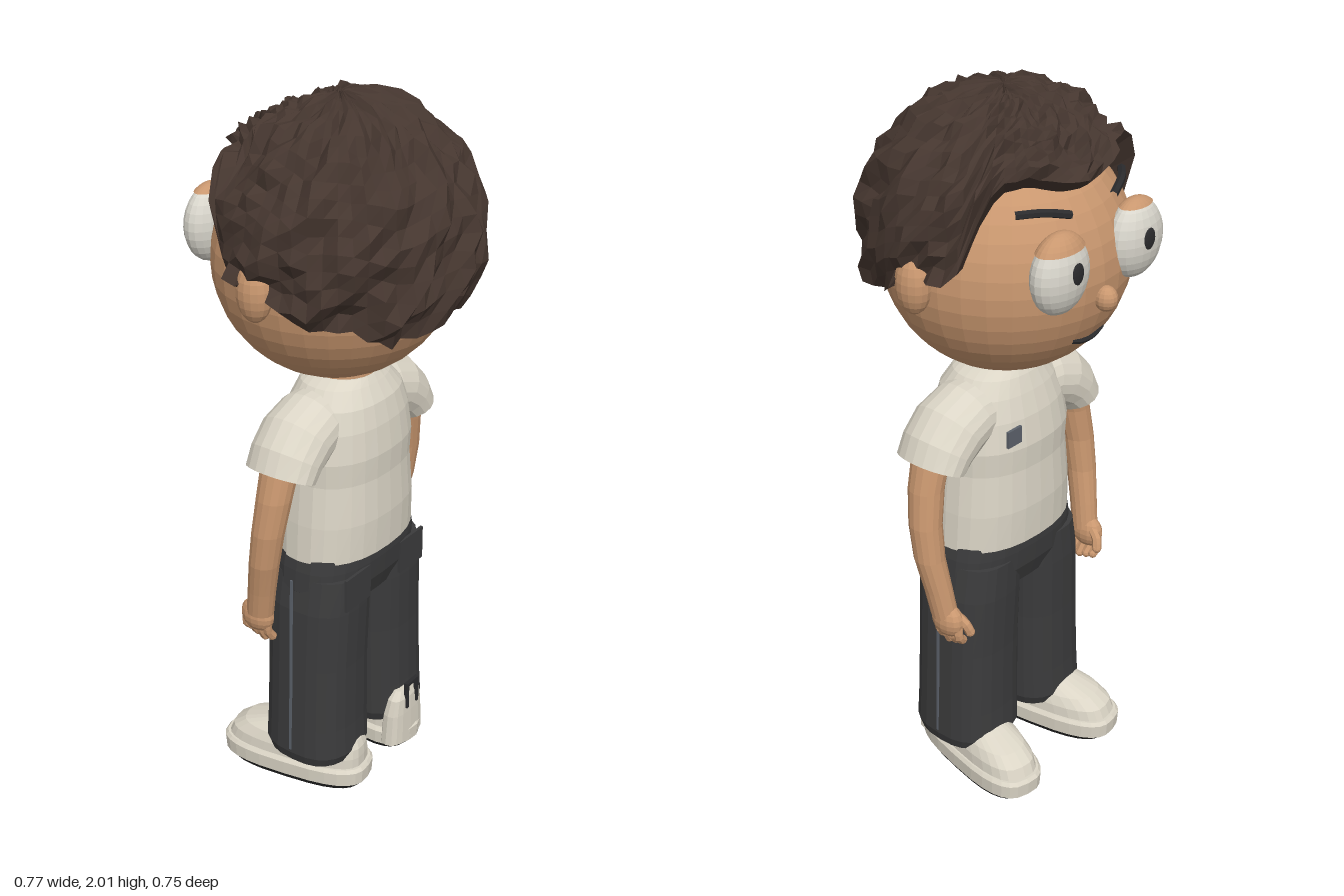
import * as THREE from 'three';

const flat = (hex, side = THREE.FrontSide) => new THREE.MeshStandardMaterial({ color: hex, flatShading: true, side });

// One horizontal cross-section: [cx, y, cz, rx, rz], e = 2 is an ellipse, higher is boxier
function ring([cx, y, cz, rx, rz], n = 28, e = 2) {
  const pts = [];
  for (let j = 0; j < n; j++) {
    const a = (j / n) * Math.PI * 2, c = Math.cos(a), s = Math.sin(a);
    pts.push(new THREE.Vector3(
      cx + rx * Math.sign(c) * Math.abs(c) ** (2 / e), y,
      cz + rz * Math.sign(s) * Math.abs(s) ** (2 / e)));
  }
  return pts;
}

// Skin a stack of cross-sections, bottom to top, with optional end caps
function loft(rings, capStart = true, capEnd = true) {
  const n = rings[0].length, pos = [], idx = [];
  rings.forEach(r => r.forEach(p => pos.push(p.x, p.y, p.z)));
  const at = (i, j) => i * n + (j % n);
  for (let i = 0; i < rings.length - 1; i++)
    for (let j = 0; j < n; j++)
      idx.push(at(i, j), at(i + 1, j), at(i, j + 1), at(i + 1, j), at(i + 1, j + 1), at(i, j + 1));
  const cap = (i, flip) => {
    const c = new THREE.Vector3();
    rings[i].forEach(p => c.addScaledVector(p, 1 / n));
    const k = pos.length / 3;
    pos.push(c.x, c.y, c.z);
    for (let j = 0; j < n; j++) flip ? idx.push(k, at(i, j + 1), at(i, j)) : idx.push(k, at(i, j), at(i, j + 1));
  };
  if (capStart) cap(0, false);
  if (capEnd) cap(rings.length - 1, true);
  const g = new THREE.BufferGeometry();
  g.setAttribute('position', new THREE.Float32BufferAttribute(pos, 3));
  g.setIndex(idx);
  g.computeVertexNormals();
  return g;
}

const tube = (pts, r, seg = 10, sides = 8) => new THREE.TubeGeometry(
  new THREE.CatmullRomCurve3(pts.map(p => new THREE.Vector3(...p))), seg, r, sides);

const hash = (i, j) => { const v = Math.sin(i * 127.1 + j * 311.7) * 43758.5453; return v - Math.floor(v); };

// Hairline height by angle from the face (0) to the back of the head (PI)
const HAIRLINE = [[0, 1.81], [0.24, 1.82], [0.58, 1.85], [0.9, 1.84], [1.08, 1.74], [1.18, 1.61],
  [1.4, 1.61], [1.75, 1.56], [1.95, 1.5], [2.25, 1.51], [2.65, 1.44], [3.15, 1.5]];
function hairline(a) {
  const k = Math.max(1, HAIRLINE.findIndex(h => h[0] >= a));
  const [a0, y0] = HAIRLINE[k - 1], [a1, y1] = HAIRLINE[k];
  return y0 + (y1 - y0) * (a - a0) / (a1 - a0);
}

// Curly hair shell: bumpy dome trimmed at the hairline and tucked in to the head
function hairGeometry() {
  const n = 60, rows = 17, rings = [];
  for (let i = -1; i < rows; i++) {
    const r = [];
    for (let j = 0; j < n; j++) {
      const w = (j / n) * Math.PI * 2, x = Math.cos(w), z = Math.sin(w);
      const a = Math.acos(Math.max(-1, Math.min(1, -z)));
      const base = 0.358 - 0.025 * Math.max(0, 1 - a / 1.1);
      const th = Math.acos((hairline(a) - 1.62) / base) * (1 - Math.max(i, 0) / (rows - 0.6));
      const bump = (hash(i, j) - 0.5) * 0.036 + 0.012 * Math.sin(j * 1.25 + i * 0.9);
      const R = i < 0 ? 0.27 : base + 0.004 + bump * Math.min(1, 0.25 + th) + 0.016 * Math.max(0, Math.cos(th));
      r.push(new THREE.Vector3(x * R * Math.sin(th), 1.62 + R * Math.cos(th), z * R * Math.sin(th) - 0.01));
    }
    rings.push(r);
  }
  return loft(rings, false, true);
}

export function createModel() {
  const root = new THREE.Group();
  root.name = 'figure';
  const mat = {
    skin: flat(0xc9976f, THREE.DoubleSide), hair: flat(0x45362f, THREE.DoubleSide),
    cloth: flat(0xdbd5c6, THREE.DoubleSide), trousers: flat(0x3b3b3c), eyeWhite: flat(0xd9d6cc),
    dark: flat(0x2b2b2d), patchGrey: flat(0x5c626b), soleBlack: flat(0x222222),
  };
  for (const k in mat) mat[k].name = k;
  const add = (name, geo, m, parent = root, p = [0, 0, 0]) => {
    const o = new THREE.Mesh(geo, m);
    o.name = name;
    o.position.set(...p);
    parent.add(o);
    return o;
  };
  const ball = (name, p, r, m, seg = 16, parent = root) => {
    const o = add(name, new THREE.SphereGeometry(1, seg, Math.round(seg * 0.7)), m, parent, p);
    o.scale.set(...r);
    return o;
  };

  // Head, neck, nose, hair, mouth
  ball('head', [0, 1.57, -0.02], [0.33, 0.32, 0.32], mat.skin, 32);
  add('neck', new THREE.CylinderGeometry(0.088, 0.095, 0.14, 20), mat.skin, root, [0.005, 1.23, 0]);
  ball('nose', [0, 1.525, -0.345], [0.029, 0.034, 0.031], mat.skin, 14);
  add('hair', hairGeometry(), mat.hair);
  add('mouth', tube([[0.06, 1.41, -0.287], [0.03, 1.4, -0.292], [-0.02, 1.398, -0.292], [-0.06, 1.408, -0.286]], 0.007, 10, 6), mat.dark);

  // Paired face parts
  for (const s of [1, -1]) {
    const side = s > 0 ? 'left' : 'right';
    const e = [s * 0.143, 1.632, -0.315];
    ball(side + 'Ear', [s * 0.338, 1.58, -0.017], [0.042, 0.08, 0.05], mat.skin);
    ball(side + 'Eye', e, [0.092, 0.104, 0.055], mat.eyeWhite, 20);
    const lid = add(side + 'Eyelid', new THREE.SphereGeometry(1, 20, 6, 0, Math.PI * 2, 0, s > 0 ? 0.92 : 0.6), mat.skin, root, e);
    lid.scale.set(0.096, 0.109, 0.058);
    ball(side + 'Pupil', [s * 0.137, 1.645, -0.367], [0.021, 0.029, 0.006], mat.dark, 14);
    add(side + 'Eyebrow', tube([[s * 0.08, 1.758, -0.294], [s * 0.145, 1.775, -0.266], [s * 0.2, 1.773, -0.222]], 0.011, 8, 6), mat.dark);
  }

  // Body from the neck down
  const body = new THREE.Group();
  body.name = 'body';
  body.position.x = 0.011;
  root.add(body);

  add('shirt', loft([
    [0, 0.75, 0, 0.218, 0.15], [0, 0.86, 0, 0.212, 0.155], [0, 0.98, 0, 0.2, 0.149], [0, 1.05, 0, 0.203, 0.153],
    [0, 1.13, 0.002, 0.19, 0.142], [0, 1.19, 0.004, 0.168, 0.126], [0, 1.235, 0, 0.13, 0.105], [0, 1.255, 0, 0.095, 0.093],
  ].map(r => ring(r, 28, 2.3))), mat.cloth, body);
  add('chestPatch', new THREE.BoxGeometry(0.052, 0.048, 0.008), mat.patchGrey, body, [0.108, 1.105, -0.152]);

  add('trouserSeat', loft([
    [0, 0.6, 0, 0.2, 0.115], [0, 0.66, 0, 0.23, 0.136], [0, 0.72, 0, 0.224, 0.14], [0, 0.775, 0, 0.212, 0.138],
  ].map(r => ring(r, 28, 2.6))), mat.trousers, body);

  for (const s of [1, -1]) {
    const side = s > 0 ? 'left' : 'right';

    // Sleeve rings follow the shoulder down; each is [x, y, dx, dy, r across, r deep]
    const sleeve = [[0.08, 1.14, 1, 0, 0.09, 0.095], [0.14, 1.14, 0.95, -0.3, 0.092, 0.1],
      [0.2, 1.118, 0.8, -0.6, 0.094, 0.104], [0.245, 1.08, 0.6, -0.8, 0.085, 0.104], [0.272, 1.04, 0.4, -0.92, 0.074, 0.103]];
    add(side + 'Sleeve', loft(sleeve.map(([x, y, dx, dy, ru, rv]) => ring([0, 0, 0, ru, rv], 20).map(p =>
      new THREE.Vector3(s * x + dy * p.x, y - s * dx * p.x, p.z - 0.008))), true, false), mat.cloth, body);

    // Arm rings run from wrist to shoulder
    add(side + 'Arm', loft([
      [s * 0.294, 0.6, -0.07, 0.034, 0.04], [s * 0.302, 0.68, -0.056, 0.036, 0.041], [s * 0.313, 0.78, -0.036, 0.041, 0.043],
      [s * 0.311, 0.88, -0.022, 0.044, 0.046], [s * 0.295, 0.98, -0.012, 0.047, 0.05], [s * 0.262, 1.1, -0.008, 0.05, 0.055],
    ].map(r => ring(r, 16))), mat.skin, body);

    const hand = new THREE.Group();
    hand.name = side + 'Hand';
    body.add(hand);
    ball('palm', [s * 0.293, 0.588, -0.08], [0.032, 0.05, 0.052], mat.skin, 14, hand);
    for (let f = 0; f < 4; f++) {
      const z = -0.045 - f * 0.024;
      add('finger', tube([[s * 0.293, 0.58, z], [s * 0.292, 0.545, z - 0.003], [s * 0.276, 0.512 + Math.abs(f - 1) * 0.008, z]], 0.013, 5, 7), mat.skin, hand);
      ball('fingertip', [s * 0.276, 0.512 + Math.abs(f - 1) * 0.008, z], [0.013, 0.013, 0.013], mat.skin, 8, hand);
    }
    add('thumb', tube([[s * 0.285, 0.61, -0.1], [s * 0.276, 0.585, -0.13], [s * 0.268, 0.56, -0.138]], 0.014, 5, 7), mat.skin, hand);
    ball('thumbTip', [s * 0.268, 0.56, -0.138], [0.014, 0.014, 0.014], mat.skin, 8, hand);

    // Trouser leg with side seam and back pocket
    add(side + 'TrouserLeg', loft([
      [s * 0.136, 0.1, 0, 0.118, 0.125], [s * 0.135, 0.13, 0, 0.127, 0.138], [s * 0.132, 0.22, 0, 0.126, 0.134],
      [s * 0.127, 0.42, 0, 0.122, 0.132], [s * 0.12, 0.6, 0, 0.12, 0.136], [s * 0.11, 0.7, 0, 0.112, 0.134],
    ].map(r => ring(r, 24, 2.6))), mat.trousers, body);
    const seam = add(side + 'SideSeam', new THREE.BoxGeometry(0.005, 0.56, 0.007), mat.patchGrey, body, [s * 0.2525, 0.42, 0]);
    seam.rotation.z = s * 0.03;
    add(side + 'BackPocket', new THREE.BoxGeometry(0.11, 0.1, 0.008), mat.trousers, body, [s * 0.125, 0.665, 0.135]);

    // Shoe, built pointing to -z and splayed outward; rings are [y, back z, front z, half width]
    const shoe = new THREE.Group();
    shoe.name = side + 'Shoe';
    shoe.position.x = s * 0.135;
    shoe.rotation.y = -s * 0.19;
    body.add(shoe);
    const layer = (name, rows, m) => add(name, loft(rows.map(([y, b, f, w]) =>
      ring([0, y, (b + f) / 2, w, (b - f) / 2], 28, 2.9))), m, shoe);
    layer('outsole', [[0, 0.145, -0.265, 0.085], [0.018, 0.16, -0.285, 0.093]], mat.soleBlack);
    layer('midsole', [[0.018, 0.162, -0.287, 0.095], [0.06, 0.165, -0.29, 0.097], [0.07, 0.158, -0.282, 0.09]], mat.cloth);
    layer('upper', [[0.068, 0.15, -0.275, 0.085], [0.1, 0.15, -0.262, 0.083], [0.128, 0.148, -0.225, 0.074],
      [0.15, 0.14, -0.16, 0.06], [0.165, 0.13, -0.12, 0.045]], mat.cloth);
  }

  // Left shoe's raised heel with pull loop
  const heel = add('heelTab', loft([[0.112, 0.03, 0.125, 0.08, 0.036], [0.112, 0.13, 0.128, 0.074, 0.032],
    [0.112, 0.18, 0.132, 0.062, 0.026], [0.112, 0.205, 0.132, 0.04, 0.018]].map(r => ring(r, 16, 2.8))), mat.cloth, body);
  heel.position.x = -0.002;
  for (const x of [0.088, 0.136])
    add('pullLoopSide', new THREE.BoxGeometry(0.009, 0.085, 0.012), mat.dark, body, [x, 0.19, 0.158]);
  add('pullLoopTop', new THREE.BoxGeometry(0.057, 0.01, 0.012), mat.dark, body, [0.112, 0.228, 0.158]);
  return root;
}
